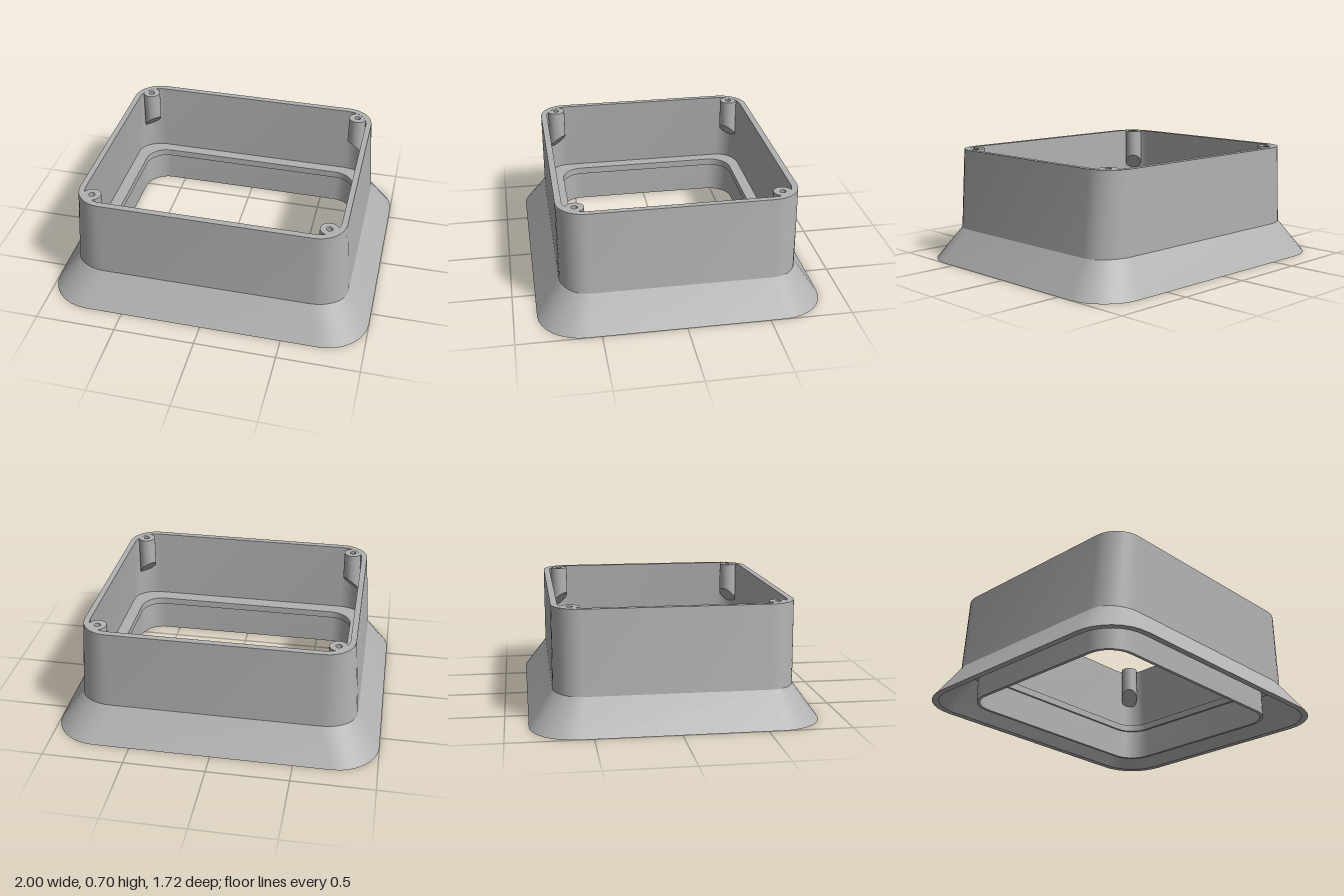
import * as THREE from 'three';
import { toCreasedNormals } from 'three/addons/utils/BufferGeometryUtils.js';

const CORNER_STEPS = 8;

// Rounded rectangle at height y: half sizes hx, hz, corner radii rx, rz, shift dz
function ringPoints([hx, hz, rx, rz, y, dz = 0]) {
  const points = [];
  const signs = [[1, 1], [-1, 1], [-1, -1], [1, -1]];
  signs.forEach(([sx, sz], quarter) => {
    for (let i = 0; i <= CORNER_STEPS; i++) {
      const a = (quarter + i / CORNER_STEPS) * Math.PI / 2;
      points.push([sx * (hx - rx) + rx * Math.cos(a), y, sz * (hz - rz) + rz * Math.sin(a) + dz]);
    }
  });
  return points;
}

// Skin a closed loop of rings: up the outside, over the top, down the inside
function frameGeometry(rings) {
  const loops = rings.map(ringPoints);
  const n = loops[0].length;
  const index = [];
  for (let i = 0; i < loops.length; i++) {
    const next = (i + 1) % loops.length;
    for (let j = 0; j < n; j++) {
      const k = (j + 1) % n;
      const a = i * n + j, b = next * n + j, c = next * n + k, d = i * n + k;
      index.push(a, b, d, b, c, d);
    }
  }
  const geometry = new THREE.BufferGeometry();
  geometry.setAttribute('position', new THREE.Float32BufferAttribute(loops.flat(2), 3));
  geometry.setIndex(index);
  return toCreasedNormals(geometry, 0.45);
}

// Screw post with a blind hole, its underside sloping down into the corner
function postGeometry(sx, sz) {
  const r = 0.056, hole = 0.019, top = 0.704, bottom = 0.53;
  const profile = [
    [0, bottom], [r, bottom], [r, top], [hole, top], [hole, 0.6], [0, 0.6],
  ].map(([x, y]) => new THREE.Vector2(x, y));
  const geometry = new THREE.LatheGeometry(profile, 24);
  const p = geometry.attributes.position;
  for (let i = 0; i < p.count; i++) {
    if (p.getY(i) > bottom + 0.01) continue;
    const outward = (p.getX(i) * sx + p.getZ(i) * sz) / Math.SQRT2;
    p.setY(i, bottom - (outward + r));
  }
  return toCreasedNormals(geometry, 0.6);
}

export function createModel() {
  const grey = new THREE.MeshStandardMaterial({ color: 0xb2b2b2 });
  grey.name = 'grey plastic';
  const group = new THREE.Group();
  group.name = 'flaredFrame';

  const add = (name, geometry) => {
    const mesh = new THREE.Mesh(geometry, grey);
    mesh.name = name;
    group.add(mesh);
    return mesh;
  };

  // Hollow wall with flared skirt
  add('flaredShell', frameGeometry([
    [1, 0.86, 0.27, 0.27, 0],
    [0.855, 0.717, 0.21, 0.17, 0.205],
    [0.815, 0.717, 0.17, 0.17, 0.705],
    [0.78, 0.678, 0.135, 0.135, 0.705],
    [0.815, 0.678, 0.17, 0.135, 0.2],
    [0.96, 0.82, 0.235, 0.235, 0],
  ]));

  // Flat inner ledge around the opening
  add('innerLedge', frameGeometry([
    [0.83, 0.695, 0.185, 0.15, 0.2],
    [0.83, 0.695, 0.185, 0.15, 0.245],
    [0.735, 0.597, 0.14, 0.14, 0.245, -0.01],
    [0.735, 0.597, 0.14, 0.14, 0.2, -0.01],
  ]));

  // Thin lip hanging below the ledge
  add('lowerLip', frameGeometry([
    [0.77, 0.632, 0.175, 0.175, 0, -0.01],
    [0.77, 0.632, 0.175, 0.175, 0.22, -0.01],
    [0.75, 0.612, 0.155, 0.155, 0.22, -0.01],
    [0.75, 0.612, 0.155, 0.155, 0, -0.01],
  ]));

  // Four corner screw posts
  for (const sx of [-1, 1]) {
    for (const sz of [-1, 1]) {
      const name = (sz > 0 ? 'front' : 'back') + (sx > 0 ? 'Left' : 'Right') + 'ScrewPost';
      add(name, postGeometry(sx, sz)).position.set(sx * 0.718, 0, sz * 0.61);
    }
  }
  return group;
}
